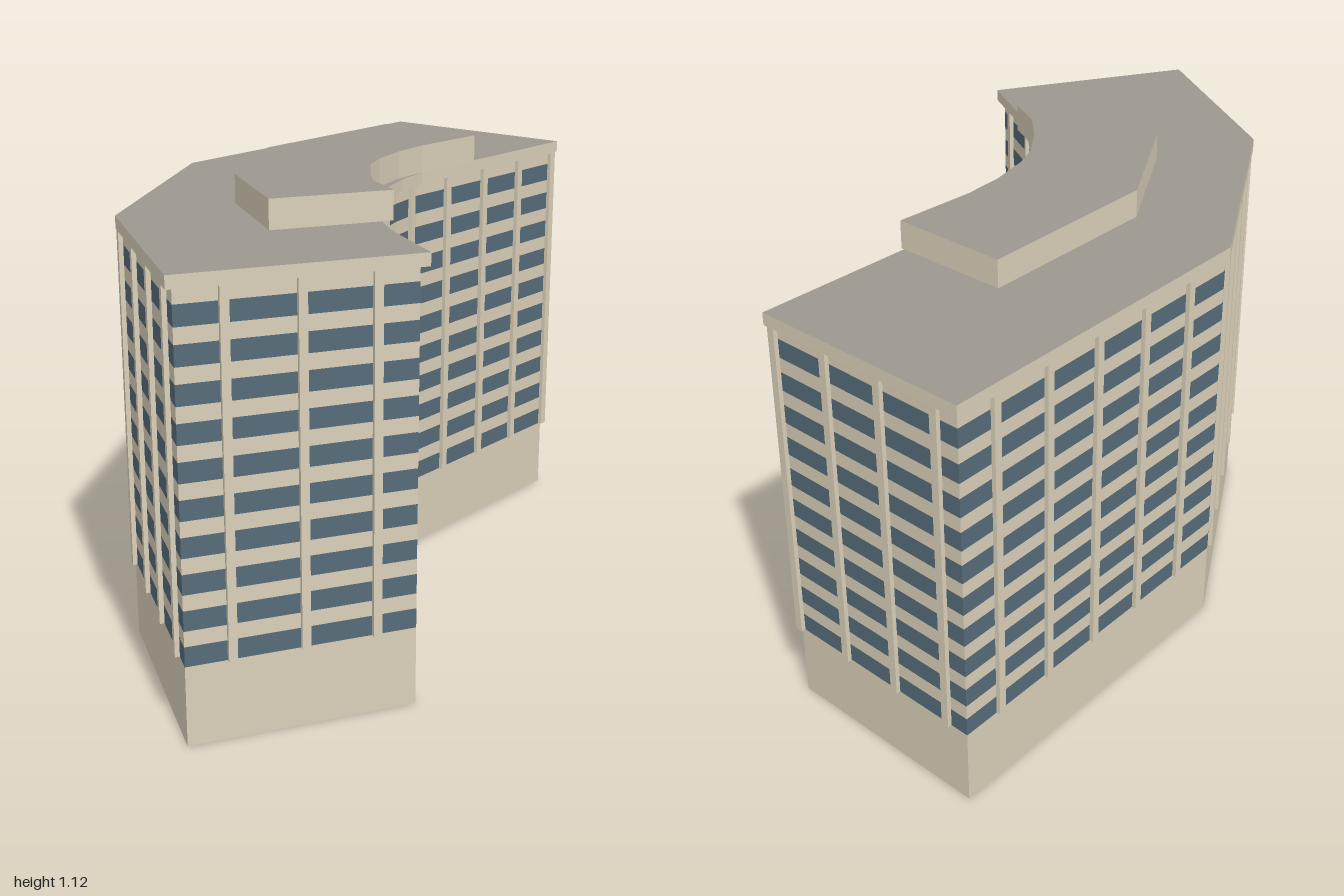
import * as THREE from 'three';

// Plan outlines as [x, z], starting at the far right corner
const wallPlan = [
  [0.463, -0.69], [-0.008, -0.983], [-0.465, -0.197], [-0.474, 0.475], [-0.22, 0.985], [0.244, 0.727],
  [0.141, 0.54], [0.11, 0.45], [0.076, 0.33], [0.062, 0.2], [0.068, 0.07], [0.095, -0.05], [0.135, -0.16],
];
const slabPlan = [
  [0.482, -0.70], [-0.012, -1.0], [-0.476, -0.2], [-0.485, 0.48], [-0.229, 1.0], [0.266, 0.73],
  [0.157, 0.535], [0.125, 0.45], [0.091, 0.33], [0.077, 0.2], [0.083, 0.07], [0.11, -0.05], [0.15, -0.16],
];
const penthousePlan = [
  [0.27, -0.34], [0.01, -0.5], [-0.24, -0.07], [-0.245, 0.30], [-0.107, 0.578], [0.15, 0.437],
  [0.09, 0.335], [0.065, 0.23], [0.055, 0.13], [0.065, 0.05], [0.1, -0.06], [0.15, -0.16],
];

const BASE_TOP = 0.19, WALL_TOP = 1.02, SLAB_TOP = 1.05, PENTHOUSE_TOP = 1.12;
const FLOORS = 10, PITCH = 0.0833, WINDOW_HEIGHT = 0.047, PILLARS = 29;

export function createModel() {
  const concrete = new THREE.MeshStandardMaterial({ color: 0xdad0b9 });
  const glass = new THREE.MeshStandardMaterial({ color: 0x566c79 });
  const roofing = new THREE.MeshStandardMaterial({ color: 0x9c988f });
  concrete.name = 'concrete';
  glass.name = 'glass';
  roofing.name = 'roofing';

  const model = new THREE.Group();
  model.name = 'officeBuilding';

  // Upright prism over a plan; the top face may have its own material
  function prism(name, plan, y0, y1, material, topMaterial, parent = model) {
    const shape = new THREE.Shape(plan.map(([x, z]) => new THREE.Vector2(x, -z)));
    const geometry = new THREE.ExtrudeGeometry(shape, { depth: y1 - y0, bevelEnabled: false });
    geometry.rotateX(-Math.PI / 2);
    const [lids, sides] = geometry.groups.map((g) => ({ ...g }));
    geometry.clearGroups();
    geometry.addGroup(0, lids.count / 2, 0);
    geometry.addGroup(lids.count / 2, lids.count / 2, 1);
    geometry.addGroup(sides.start, sides.count, 0);
    const mesh = new THREE.Mesh(geometry, topMaterial ? [material, topMaterial] : [material, material]);
    mesh.name = name;
    mesh.position.y = y0;
    parent.add(mesh);
  }

  prism('base', wallPlan, 0, BASE_TOP, concrete);

  // Floors: a window strip with a wall strip above it
  const floors = new THREE.Group();
  floors.name = 'floors';
  model.add(floors);
  for (let i = 0; i < FLOORS; i++) {
    const y = BASE_TOP + i * PITCH;
    const top = i === FLOORS - 1 ? WALL_TOP : y + PITCH;
    prism('windowStrip', wallPlan, y, y + WINDOW_HEIGHT, glass, null, floors);
    prism('wallStrip', wallPlan, y + WINDOW_HEIGHT, top, concrete, null, floors);
  }

  // Pillars evenly spaced around the perimeter
  const pillars = new THREE.Group();
  pillars.name = 'pillars';
  model.add(pillars);
  const edges = wallPlan.map(([x, z], i) => {
    const [x2, z2] = wallPlan[(i + 1) % wallPlan.length];
    return { x, z, dx: x2 - x, dz: z2 - z, length: Math.hypot(x2 - x, z2 - z) };
  });
  const perimeter = edges.reduce((sum, e) => sum + e.length, 0);
  const pillarGeometry = new THREE.BoxGeometry(0.02, WALL_TOP - BASE_TOP, 0.022);
  for (let i = 0; i < PILLARS; i++) {
    let d = (i * perimeter) / PILLARS;
    let k = 0;
    while (d > edges[k].length) d -= edges[k++].length;
    const e = edges[k], t = d / e.length;
    const pillar = new THREE.Mesh(pillarGeometry, concrete);
    pillar.name = 'pillar';
    pillar.position.set(e.x + e.dx * t, (BASE_TOP + WALL_TOP) / 2, e.z + e.dz * t);
    pillar.rotation.y = Math.atan2(-e.dz, e.dx);
    pillars.add(pillar);
  }

  // Overhanging roof slab and penthouse
  prism('roofSlab', slabPlan, WALL_TOP, SLAB_TOP, concrete, roofing);
  prism('penthouse', penthousePlan, SLAB_TOP, PENTHOUSE_TOP, concrete, roofing);

  return model;
}
